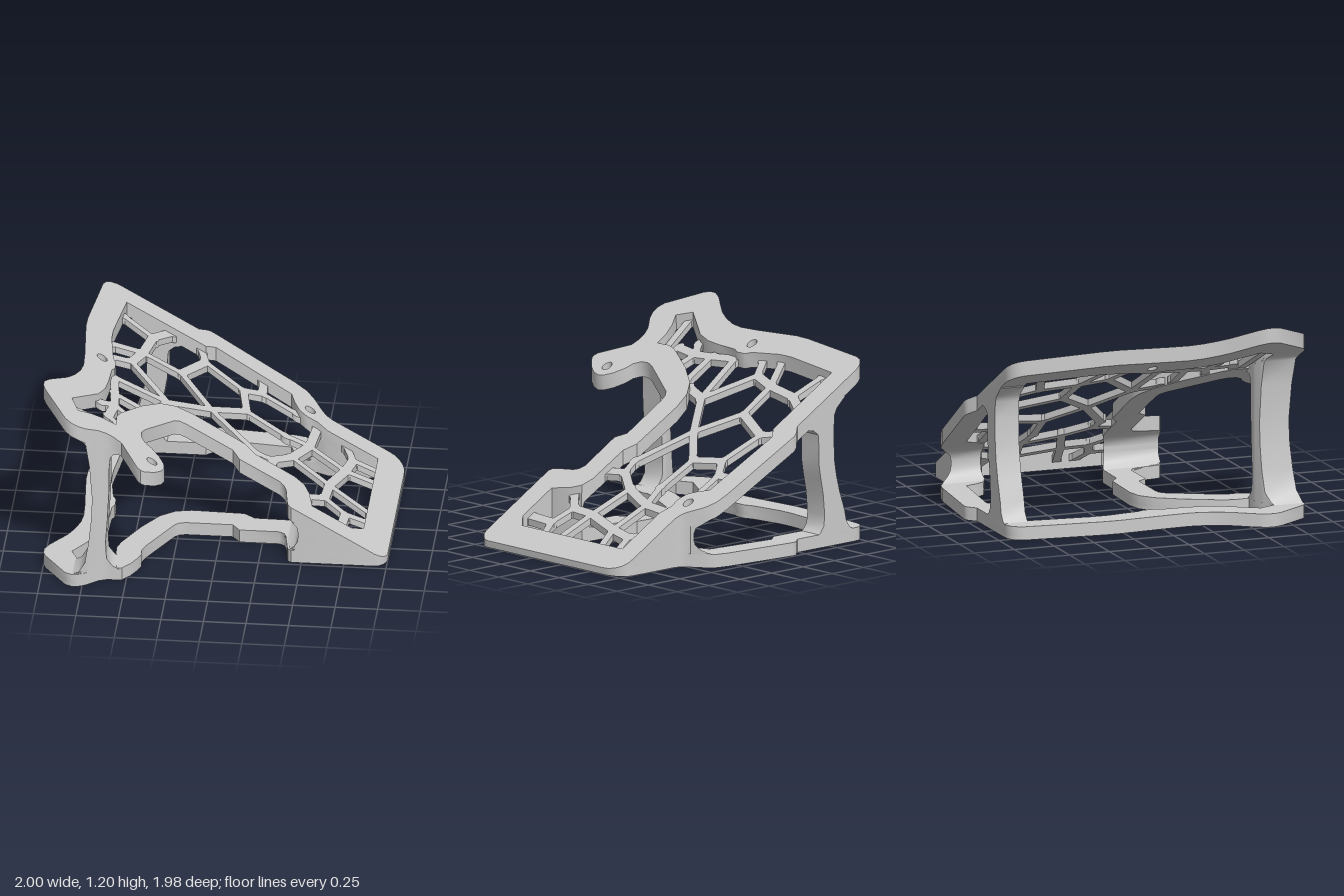
import * as THREE from 'three';
import { mergeGeometries, toCreasedNormals } from 'three/addons/utils/BufferGeometryUtils.js';

const material = new THREE.MeshStandardMaterial({ color: 0xcccccc });

// sloped upper surface and underside of the top frame
const top = (x) => 0.6175 - 0.5775 * x;
const under = (x) => Math.max(0, top(x) - 0.09);

// outlines as x, z pairs
const pairs = (a) => Array.from({ length: a.length / 2 }, (_, i) => [a[2 * i], a[2 * i + 1]]);
const rightEdge = pairs([0.505, -0.79, 0.53, -0.768, 0.565, -0.755, 0.895, -0.755, 0.93, -0.75, 0.96, -0.73,
  0.985, -0.69, 0.997, -0.65, 1, -0.6, 1, 0.39, 0.995, 0.42, 0.98, 0.445, 0.96, 0.465, 0.93, 0.475]);
const backEdge = pairs([-0.85, 0.875, -0.985, 0.68, -1, 0.64, -1, 0.595, -0.975, 0.54, -0.88, 0.405, -0.845, 0.33,
  -0.82, 0.25, -0.81, 0.17, -0.815, 0.05, -0.84, -0.28, -0.838, -0.38, -0.795, -0.85, -0.782, -0.89, -0.757, -0.92,
  -0.725, -0.936, -0.69, -0.94, -0.24, -0.94, -0.195, -0.98, -0.175, -0.99, -0.15, -0.99, 0.32, -0.943,
  0.39, -0.925, 0.44, -0.885]);
const frontEdge = pairs([0.44, 0.475, 0.42, 0.46, 0.412, 0.43, 0.395, 0.31, 0.38, 0.275, 0.35, 0.255, 0.115, 0.255,
  0.07, 0.195, -0.2, 0.195, -0.24, 0.202, -0.27, 0.23, -0.415, 0.51, -0.43, 0.56, -0.427, 0.61]);
const hook = pairs([-0.4, 0.655, -0.36, 0.675, -0.31, 0.725, -0.28, 0.775, -0.272, 0.82, -0.285, 0.87, -0.32, 0.93,
  -0.375, 0.985, -0.395, 0.99, -0.415, 0.98, -0.49, 0.86, -0.525, 0.805]);
const toe = pairs([-0.57, 0.79, -0.61, 0.79, -0.66, 0.81, -0.73, 0.87, -0.77, 0.89, -0.81, 0.895]);
const inner = pairs([-0.65, -0.79, -0.185, -0.79, -0.13, -0.84, 0.32, -0.79, 0.345, -0.72, 0.38, -0.66, 0.43, -0.635,
  0.485, -0.64, 0.55, -0.605, 0.845, -0.605, 0.845, 0.26, 0.78, 0.325, 0.55, 0.325, 0.52, 0.2, 0.485, 0.135,
  0.425, 0.105, 0.19, 0.1, 0.125, 0.05, -0.185, 0.04, -0.28, 0.06, -0.365, 0.125, -0.46, 0.27, -0.56, 0.47,
  -0.58, 0.54, -0.575, 0.635, -0.65, 0.64, -0.72, 0.665, -0.79, 0.71, -0.835, 0.61, -0.7, 0.4, -0.67, 0.3,
  -0.66, 0.2, -0.655, 0.05, -0.64, 0.02, -0.64, -0.05, -0.66, -0.09, -0.69, -0.3, -0.69, -0.4]);

const circle = (x, z, r) => Array.from({ length: 20 }, (_, i) => {
  const a = (i / 20) * Math.PI * 2;
  return [x + r * Math.cos(a), z + r * Math.sin(a)];
});

// upright prism on a clockwise plan outline, between two heights that depend on x
function upright(outline, holes, low, high) {
  const vec = (pts) => pts.map(([x, z]) => new THREE.Vector2(x, -z));
  const shape = new THREE.Shape(vec(outline).reverse());
  shape.holes = holes.map((h) => new THREE.Path(vec(h)));
  const g = new THREE.ExtrudeGeometry(shape, { depth: 1, bevelEnabled: false }).rotateX(-Math.PI / 2);
  return shear(g, low, high);
}

function shear(g, low, high) {
  const p = g.attributes.position;
  for (let i = 0; i < p.count; i++) {
    const x = p.getX(i);
    p.setY(i, THREE.MathUtils.lerp(low(x), high(x), p.getY(i)));
  }
  return g;
}

// piecewise linear z(x) from x, z pairs
const along = (...a) => {
  const pts = pairs(a);
  return (x) => {
    if (x <= pts[0][0]) return pts[0][1];
    for (let i = 1; i < pts.length; i++) {
      const [x0, z0] = pts[i - 1], [x1, z1] = pts[i];
      if (x <= x1) return z0 + ((z1 - z0) * (x - x0)) / (x1 - x0);
    }
    return pts[pts.length - 1][1];
  };
};

// loft between a left and a right side curve (x, y pairs, bottom to top), bounded by two plan curves
function post(leftCurve, rightCurve, zBack, zFront) {
  const left = pairs(leftCurve), right = pairs(rightCurve), n = 12, ring = 2 * n + 2;
  const positions = [], index = [];
  left.forEach(([xl, yl], r) => {
    const [xr, yr] = right[r];
    for (let i = 0; i < ring; i++) {
      const t = (i <= n ? i : ring - 1 - i) / n;
      const x = THREE.MathUtils.lerp(xl, xr, t);
      positions.push(x, THREE.MathUtils.lerp(yl, yr, t), i <= n ? zFront(x) : zBack(x));
    }
    if (r === 0) return;
    for (let i = 0; i < ring; i++) {
      const a = (r - 1) * ring + i, b = (r - 1) * ring + ((i + 1) % ring);
      index.push(a, b, b + ring, a, b + ring, a + ring);
    }
  });
  const g = new THREE.BufferGeometry();
  g.setAttribute('position', new THREE.Float32BufferAttribute(positions, 3));
  g.setIndex(index);
  return g;
}

function part(name, g) {
  const mesh = new THREE.Mesh(toCreasedNormals(g, 0.6), material);
  mesh.name = name;
  return mesh;
}

// web nodes (x, z) and the bars joining them
const nodes = pairs([-0.48, -0.64, -0.66, -0.7, -0.39, -0.8, -0.515, -0.41, -0.7, -0.31, -0.29, -0.42, -0.175, -0.69,
  -0.21, -0.8, 0.055, -0.61, 0.16, -0.69, 0.15, -0.82, 0.36, -0.68, 0.095, -0.4, -0.095, -0.2, -0.33, -0.01,
  -0.565, -0.24, -0.68, -0.17, -0.38, 0.15, -0.64, 0.04, 0.19, 0, 0.28, -0.015, 0.3, 0.12, 0.385, -0.17,
  0.465, -0.4, 0.485, -0.65, 0.68, -0.345, 0.86, -0.4, 0.71, -0.51, 0.66, -0.62, 0.86, -0.54, 0.61, -0.09,
  0.86, -0.02, 0.6, 0.08, 0.725, 0.135, 0.5, 0.18, 0.86, 0.085, 0.715, 0.34, -0.62, 0.22, -0.42, 0.22,
  -0.61, 0.35, -0.5, 0.39, -0.63, 0.51, -0.57, 0.54, -0.84, 0.64, -0.56, 0.585, -0.69, 0.4, 0.325, -0.37]);
const bars = pairs([0, 1, 0, 2, 0, 3, 3, 4, 3, 5, 5, 6, 6, 7, 6, 8, 8, 9, 9, 10, 9, 11, 8, 12, 12, 13, 5, 13, 13, 14,
  14, 15, 15, 3, 15, 16, 14, 17, 14, 18, 13, 19, 19, 20, 20, 21, 20, 22, 22, 23, 12, 46, 46, 23, 23, 24, 23, 25,
  25, 26, 25, 27, 27, 28, 27, 29, 22, 30, 30, 25, 30, 31, 30, 32, 32, 33, 32, 34, 33, 35, 33, 36, 18, 37, 37, 38,
  37, 39, 39, 40, 39, 41, 41, 42, 43, 44, 39, 45]);

function web() {
  const low = (x) => top(x) - 0.085, high = (x) => top(x) - 0.045;
  const list = bars.map(([a, b]) => {
    const [x0, z0] = nodes[a], [x1, z1] = nodes[b];
    const g = new THREE.BoxGeometry(Math.hypot(x1 - x0, z1 - z0), 1, 0.05);
    g.rotateY(-Math.atan2(z1 - z0, x1 - x0)).translate((x0 + x1) / 2, 0.5, (z0 + z1) / 2);
    return shear(g, low, high);
  });
  for (const [x, z] of nodes) {
    list.push(shear(new THREE.CylinderGeometry(0.034, 0.034, 1, 12).translate(x, 0.5, z), low, high));
  }
  return mergeGeometries(list);
}

export function createModel() {
  const group = new THREE.Group();
  const add = (name, g) => group.add(part(name, g));

  // sloping top frame with screw holes
  const screws = [[-0.72, -0.025], [0.435, -0.73], [0.88, 0.35], [-0.345, 0.82]].map(([x, z]) => circle(x, z, 0.03));
  add('topFrame', upright([...rightEdge, ...frontEdge, ...hook, ...toe, ...backEdge], [inner, ...screws], under, top));
  add('honeycombWeb', web());

  // flat base frame with shallow round recesses for feet
  const baseOutline = [...rightEdge, ...frontEdge, [-0.445, 0.66], [-0.48, 0.73], [-0.525, 0.785], ...toe, ...backEdge];
  const feet = [[0.91, 0.38], [0.922, -0.66], [-0.69, -0.865], [-0.913, 0.63], [-0.41, 0.31]]
    .map(([x, z]) => circle(x, z, 0.058));
  add('baseUnderside', upright(baseOutline, [inner, ...feet], () => 0, () => 0.02));
  add('baseFrame', upright(baseOutline, [inner], () => 0.02, (x) => Math.min(0.08, top(x))));

  // solid wedge where the frames meet
  const wedge = [[0.48, -0.825], ...rightEdge, [0.48, 0.475], [0.48, 0.135],
    ...inner.filter(([x]) => x >= 0.485).reverse()];
  add('wedge', upright(wedge, [], () => 0.02, top));

  // rounded ends of the side openings
  const fillet = [
    [0.38, 0.07, 0.43, 0.088, 0.46, 0.11, 0.475, 0.135, 0.48, 0.165, 0.48, 0.2, 0.472, 0.235, 0.445, 0.265,
      0.4, 0.3, 0.42, 0.33],
    [0.07, 0.09, 0.11, 0.135, 0.165, 0.2, 0.235, 0.255, 0.275, 0.29].flatMap((y) => [0.49, y]),
  ];
  add('frontFillet', post(...fillet, along(0.38, 0.104, 0.425, 0.105, 0.485, 0.135),
    along(0.38, 0.275, 0.395, 0.31, 0.412, 0.43, 0.44, 0.475)));
  add('backFillet', post(...fillet, along(0.39, -0.925, 0.44, -0.885, 0.505, -0.79),
    along(0.38, -0.66, 0.43, -0.635, 0.485, -0.64)));

  // curved posts between the frames
  add('frontPost', post(
    [-0.83, 0.07, -0.77, 0.095, -0.735, 0.145, -0.715, 0.27, -0.7, 0.42, -0.695, 0.56, -0.71, 0.78, -0.73, 0.93,
      -0.75, 0.955, -0.8, 0.99, -0.8, 1.03],
    [-0.54, 0.07, -0.58, 0.092, -0.615, 0.14, -0.62, 0.25, -0.61, 0.4, -0.6, 0.6, -0.6, 0.73, -0.592, 0.81,
      -0.575, 0.83, -0.54, 0.835, -0.54, 0.89],
    along(-0.79, 0.71, -0.72, 0.665, -0.65, 0.64, -0.575, 0.635),
    along(-0.85, 0.875, -0.81, 0.895, -0.77, 0.89, -0.73, 0.87, -0.66, 0.81, -0.61, 0.79)));
  add('backPost', post(
    [-0.7, 0.07, -0.66, 0.09, -0.63, 0.13, -0.615, 0.2, -0.575, 0.32, -0.55, 0.42, -0.535, 0.51, -0.53, 0.67,
      -0.535, 0.78, -0.555, 0.82, -0.62, 0.88, -0.62, 0.93],
    [-0.4, 0.07, -0.425, 0.09, -0.45, 0.125, -0.457, 0.19, -0.445, 0.32, -0.425, 0.42, -0.41, 0.51, -0.41, 0.62,
      -0.405, 0.68, -0.37, 0.708, -0.33, 0.715, -0.33, 0.78],
    () => -0.94, () => -0.79));

  return group;
}
